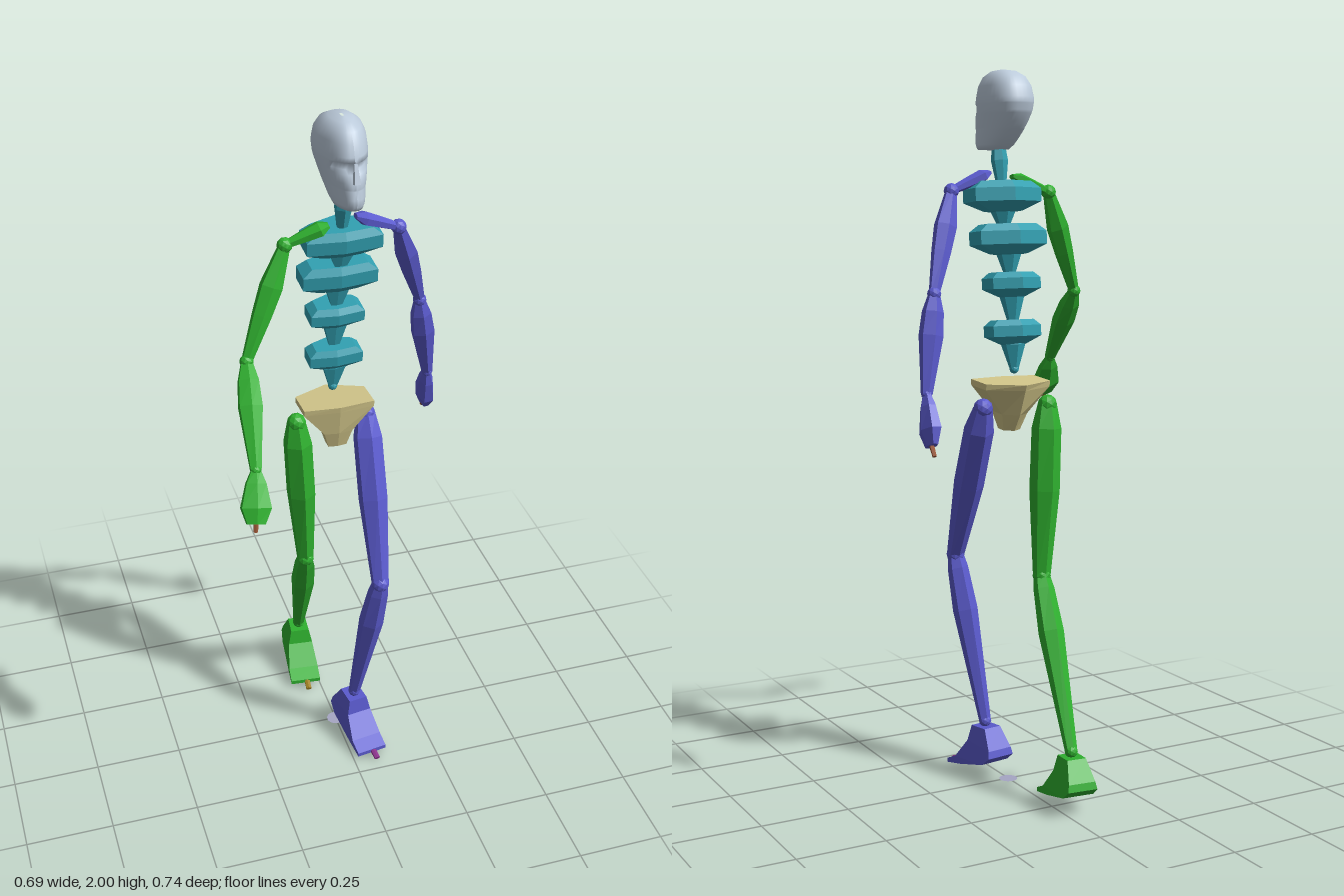
import * as THREE from 'three';

const V = (a) => new THREE.Vector3(...a);
const flat = (color) => new THREE.MeshStandardMaterial({ color, flatShading: true });
const GREEN = flat(0x2fb02f), BLUE = flat(0x5a5acc), TEAL = flat(0x319fb0), BONE = flat(0xd2c68a);
const BROWN = flat(0x9a5535), PURPLE = flat(0x8b2f8b), OLIVE = flat(0xa08020);

function add(parent, name, geometry, material) {
  const mesh = new THREE.Mesh(geometry, material);
  mesh.name = name;
  parent.add(mesh);
  return mesh;
}

// Faceted bone from a to b; rows are [t, half width, half depth], front flattens the +z corner
function bone(parent, name, a, b, rows, material, hint = [1, 0, 0], front = 1) {
  const A = V(a), dir = V(b).sub(A), len = dir.length(), n = rows.length - 1;
  const geo = new THREE.CylinderGeometry(1, 1, 1, 6, n);
  const p = geo.attributes.position;
  for (let i = 0; i < p.count; i++) {
    const [t, w, d] = rows[Math.round((0.5 - p.getY(i)) * n)];
    const z = p.getZ(i);
    p.setXYZ(i, p.getX(i) * w / 0.866, -t * len, z * d * (z > 0.9 ? front : 1));
  }
  const Y = dir.normalize().negate(), h = V(hint);
  const X = h.addScaledVector(Y, -h.dot(Y)).normalize();
  const Z = X.clone().cross(Y);
  geo.applyMatrix4(new THREE.Matrix4().makeBasis(X, Y, Z).setPosition(A));
  geo.computeVertexNormals();
  return add(parent, name, geo, material);
}

function ball(parent, name, at, r, material) {
  add(parent, name, new THREE.IcosahedronGeometry(r, 1), material).position.set(...at);
}

const CLAVICLE = [[0, 0.012, 0.006], [0.2, 0.026, 0.018], [0.5, 0.02, 0.016], [1, 0.011, 0.011]];
const UPPER_ARM = [[0, 0.014, 0.014], [0.35, 0.028, 0.026], [0.6, 0.024, 0.022], [1, 0.013, 0.013]];
const FOREARM = [[0, 0.014, 0.014], [0.18, 0.026, 0.026], [0.42, 0.03, 0.028], [1, 0.014, 0.014]];
const HAND = [[0, 0.012, 0.011], [0.25, 0.026, 0.02], [0.7, 0.039, 0.027], [1, 0.024, 0.014]];
const THIGH = [[0, 0.024, 0.024], [0.14, 0.036, 0.042], [0.5, 0.036, 0.046], [1, 0.022, 0.023]];
const SHIN = [[0, 0.02, 0.022], [0.08, 0.026, 0.028], [0.33, 0.031, 0.036], [1, 0.015, 0.016]];

function arm(group, side, mat, j, hint) {
  const g = new THREE.Group();
  g.name = side + 'Arm';
  bone(g, 'clavicle', j.inner, j.shoulder, CLAVICLE, mat, [0, 0, 1]);
  ball(g, 'shoulderJoint', j.shoulder, 0.021, mat);
  bone(g, 'upperArm', j.shoulder, j.elbow, UPPER_ARM, mat);
  ball(g, 'elbowJoint', j.elbow, 0.019, mat);
  bone(g, 'forearm', j.elbow, j.wrist, FOREARM, mat);
  ball(g, 'wristJoint', j.wrist, 0.015, mat);
  bone(g, 'hand', j.wrist, j.tip, HAND, mat, hint);
  bone(g, 'finger', j.tip, j.finger, [[0, 0.006, 0.006], [1, 0.005, 0.005]], BROWN);
  group.add(g);
}

// Wedge foot: side profile (forward, height) extruded across and pinched at the ankle
function foot(parent, ankle, yaw, mat, toeMat) {
  const profile = [[0.027, -0.015], [0.035, -0.06], [0.085, -0.12], [0.125, -0.138], [0.125, -0.15],
    [0.06, -0.138], [-0.045, -0.112], [-0.075, -0.088], [-0.07, -0.068], [-0.035, -0.012]];
  const shape = new THREE.Shape(profile.map(([f, y]) => new THREE.Vector2(-f, y)));
  const geo = new THREE.ExtrudeGeometry(shape, { depth: 1, bevelEnabled: false });
  geo.translate(0, 0, -0.5).rotateY(Math.PI / 2);
  const p = geo.attributes.position;
  for (let i = 0; i < p.count; i++) {
    const s = Math.min(1, Math.max(0, -p.getY(i) / 0.1));
    p.setX(i, p.getX(i) * (0.05 + 0.042 * s));
  }
  geo.computeVertexNormals();
  const g = new THREE.Group();
  g.name = 'foot';
  add(g, 'footWedge', geo, mat);
  bone(g, 'toe', [0.005, -0.143, 0.115], [0.005, -0.153, 0.152], [[0, 0.008, 0.007], [1, 0.008, 0.006]], toeMat);
  g.position.set(...ankle);
  g.rotation.y = yaw;
  parent.add(g);
}

function leg(group, side, mat, j, yaw, toeMat) {
  const g = new THREE.Group();
  g.name = side + 'Leg';
  ball(g, 'hipJoint', j.hip, 0.027, mat);
  bone(g, 'thigh', j.hip, j.knee, THIGH, mat);
  ball(g, 'kneeJoint', j.knee, 0.026, mat);
  bone(g, 'shin', j.knee, j.ankle, SHIN, mat);
  ball(g, 'ankleJoint', j.ankle, 0.018, mat);
  foot(g, j.ankle, yaw, mat, toeMat);
  group.add(g);
}

// Smooth head lofted from horizontal sections, with sunken eyes and a nose
function head(group) {
  // [height, front z, back z, half width]
  const rows = [[2.0, 0.03, 0.01, 0.004], [1.995, 0.062, -0.03, 0.03], [1.98, 0.09, -0.06, 0.05],
    [1.955, 0.107, -0.08, 0.062], [1.925, 0.117, -0.09, 0.066], [1.912, 0.12, -0.091, 0.066],
    [1.908, 0.119, -0.09, 0.066], [1.89, 0.118, -0.086, 0.064], [1.882, 0.122, -0.083, 0.062],
    [1.86, 0.128, -0.07, 0.057], [1.845, 0.131, -0.058, 0.053], [1.84, 0.128, -0.054, 0.052],
    [1.82, 0.137, -0.035, 0.047], [1.8, 0.136, -0.01, 0.042], [1.788, 0.128, 0.015, 0.037],
    [1.785, 0.07, 0.06, 0.003]];
  const sides = 40, n = rows.length - 1;
  const geo = new THREE.CylinderGeometry(1, 1, 1, sides, n, true);
  const p = geo.attributes.position;
  const bend = (v) => Math.sign(v) * Math.abs(v) ** 0.8;
  for (let i = 0; i < p.count; i++) {
    const k = Math.round((0.5 - p.getY(i)) * n);
    const [y, f, b, w] = rows[k];
    const c = bend(p.getZ(i));
    const x = bend(p.getX(i)) * w * (c > 0 ? 1 - 0.28 * c : 1);
    let z = (f + b) / 2 + c * (f - b) / 2;
    if ((k === 6 || k === 7) && c > 0.3 && Math.abs(x) > 0.008 && Math.abs(x) < 0.045) z -= 0.014;
    p.setXYZ(i, x, y, z);
  }
  geo.computeVertexNormals();
  const g = new THREE.Group();
  g.name = 'head';
  const mat = new THREE.MeshStandardMaterial({ color: 0xbccbdb });
  add(g, 'skull', geo, mat);
  const nose = new THREE.CylinderGeometry(0.006, 0.011, 0.05, 4).rotateY(Math.PI / 4);
  const m = add(g, 'nose', nose, flat(0xbccbdb));
  m.position.set(0, 1.886, 0.128);
  m.rotation.x = -0.25;
  g.position.x = 0.008;
  g.rotation.y = 0.04;
  group.add(g);
}

export function createModel() {
  const model = new THREE.Group();
  model.name = 'walkingFigure';
  head(model);

  // Spine: neck, then chamfered blocks that each taper down to the next
  const spine = new THREE.Group();
  spine.name = 'spine';
  bone(spine, 'neck', [0.01, 1.785, 0.035], [0.01, 1.69, 0.02],
    [[0, 0.018, 0.018], [0.3, 0.021, 0.021], [1, 0.012, 0.012]], TEAL);
  // [x, top, bottom, taper end, z, half width, depth]
  const blocks = [[0.01, 1.7, 1.62, 1.57, 0.018, 0.102, 0.075], [0.008, 1.585, 1.505, 1.44, -0.012, 0.102, 0.07],
    [0.006, 1.455, 1.39, 1.31, -0.027, 0.074, 0.066], [0.004, 1.325, 1.26, 1.19, -0.03, 0.074, 0.058]];
  for (const [x, top, bottom, end, z, w, d] of blocks) {
    const t = (top - bottom) / (top - end);
    bone(spine, 'vertebra', [x, top, z], [x, end, z - 0.012],
      [[0, w * 0.75, d * 0.75], [t * 0.25, w, d], [t * 0.7, w, d], [t, w * 0.5, d * 0.5],
        [t + 0.02, 0.03, 0.03], [1, 0.011, 0.011]], TEAL, [1, 0, 0], 0.65);
    ball(spine, 'spineJoint', [x, end, z - 0.012], 0.013, TEAL);
  }
  model.add(spine);

  bone(model, 'pelvis', [0.004, 1.158, -0.022], [0.004, 1.02, -0.012],
    [[0, 0.1, 0.092], [0.12, 0.1, 0.086], [0.65, 0.04, 0.06], [1, 0.026, 0.032]], BONE, [1, 0, 0], 0.62);

  arm(model, 'right', GREEN, { inner: [-0.03, 1.715, 0.035], shoulder: [-0.145, 1.672, 0.03],
    elbow: [-0.27, 1.39, 0.097], wrist: [-0.3, 1.18, 0.285], tip: [-0.322, 1.065, 0.36],
    finger: [-0.325, 1.045, 0.366] }, [1, 0, 0]);
  arm(model, 'left', BLUE, { inner: [0.045, 1.725, 0.025], shoulder: [0.165, 1.675, 0.017],
    elbow: [0.26, 1.405, -0.067], wrist: [0.305, 1.145, -0.11], tip: [0.318, 1.015, -0.165],
    finger: [0.32, 0.99, -0.185] }, [0, 0, 1]);
  leg(model, 'right', GREEN, { hip: [-0.1, 1.087, -0.045], knee: [-0.075, 0.602, -0.06],
    ankle: [-0.035, 0.165, -0.293] }, -0.1, OLIVE);
  leg(model, 'left', BLUE, { hip: [0.1, 1.087, -0.04], knee: [0.083, 0.637, 0.165],
    ankle: [0.04, 0.16, 0.066] }, 0.15, PURPLE);

  // Small flat marker on the ground between the feet
  const disc = new THREE.CircleGeometry(0.026, 20).rotateX(-Math.PI / 2);
  add(model, 'groundMarker', disc, new THREE.MeshStandardMaterial({ color: 0xa6a6c4, side: THREE.DoubleSide }));
  return model;
}
